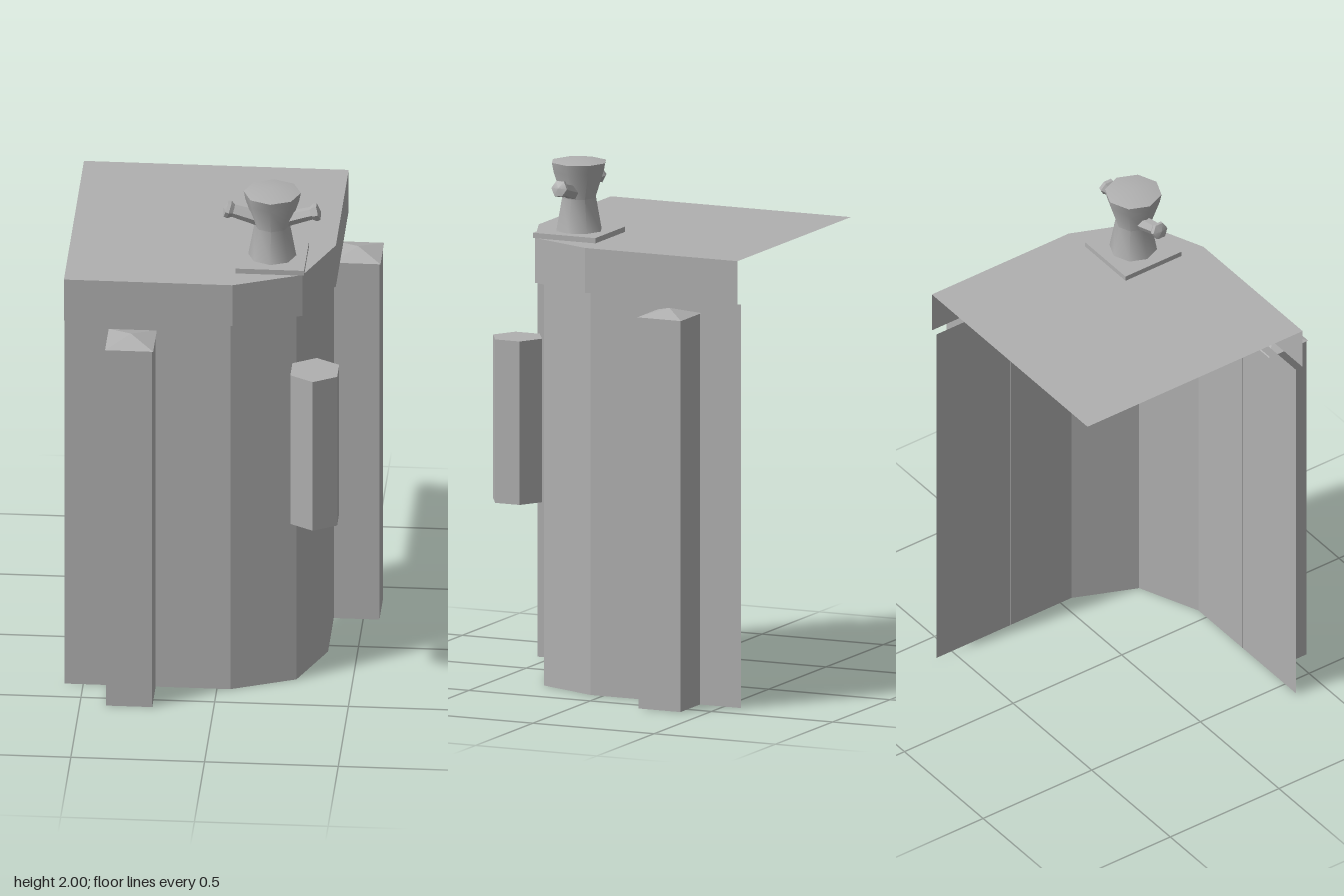
import * as THREE from 'three';
import { toCreasedNormals } from 'three/addons/utils/BufferGeometryUtils.js';

// Upright strip following an [x, z] path, outer side on the left of travel
function strip(path, y0, y1) {
  const pos = [];
  for (let i = 0; i < path.length - 1; i++) {
    const [ax, az] = path[i], [bx, bz] = path[i + 1];
    pos.push(ax, y0, az, bx, y0, bz, bx, y1, bz);
    pos.push(ax, y0, az, bx, y1, bz, ax, y1, az);
  }
  const g = new THREE.BufferGeometry();
  g.setAttribute('position', new THREE.Float32BufferAttribute(pos, 3));
  g.computeVertexNormals();
  return g;
}

// Turned part with few sides, smooth around and crisp at the rims
function turned(profile, sides, crease) {
  const pts = profile.map(([r, y]) => new THREE.Vector2(r, y));
  return toCreasedNormals(new THREE.LatheGeometry(pts, sides), crease);
}

// Path round the front and left sides with a two-step cut corner
const cornerPath = (edge, cut, mid) => [
  [-0.57, edge], [cut, edge], [mid, mid], [edge, cut], [edge, -0.57],
];

export function createModel() {
  const model = new THREE.Group();
  const stone = new THREE.MeshStandardMaterial({ color: 0xb0b0b0, side: THREE.DoubleSide });
  stone.name = 'grey stone';
  const add = (name, geometry, parent = model) => {
    const mesh = new THREE.Mesh(geometry, stone);
    mesh.name = name;
    parent.add(mesh);
    return mesh;
  };

  // Open shell: walls, overhanging fascia and roof plate
  add('wall', strip(cornerPath(0.39, 0.05, 0.29), 0, 1.53));
  const roofPath = cornerPath(0.42, 0.06, 0.315);
  add('fascia', strip(roofPath, 1.53, 1.7));
  const roofShape = new THREE.Shape(
    [...roofPath, [-0.57, -0.57]].map(([x, z]) => new THREE.Vector2(x, -z)));
  add('roof', new THREE.ShapeGeometry(roofShape).rotateX(-Math.PI / 2).translate(0, 1.7, 0));

  // Pillars with low pyramid caps, one on each outer wall
  for (const side of ['front', 'left']) {
    const pillar = new THREE.Group();
    pillar.name = side + 'Pillar';
    const h = 0.086;
    add('pillarShaft', strip([[-h, -h], [-h, h], [h, h], [h, -h]], 0, 1.485), pillar);
    const cap = new THREE.ConeGeometry(0.09 * Math.SQRT2, 0.028, 4, 1, true)
      .rotateY(Math.PI / 4).toNonIndexed();
    cap.computeVertexNormals();
    add('pillarCap', cap, pillar).position.y = 1.498;
    if (side === 'front') pillar.position.set(-0.315, 0, 0.475);
    else {
      pillar.position.set(0.475, 0, -0.315);
      pillar.rotation.y = Math.PI / 2;
    }
    model.add(pillar);
  }

  // Six-sided block on the cut corner
  const block = new THREE.CylinderGeometry(0.101, 0.101, 0.62, 6).toNonIndexed();
  block.computeVertexNormals();
  add('cornerBlock', block).position.set(0.364, 1.02, 0.364);

  // Roof fitting: plate, flared post and two raised arms
  const fitting = new THREE.Group();
  fitting.name = 'roofFitting';
  fitting.position.set(0.192, 1.7, 0.192);
  model.add(fitting);
  add('basePlate', new THREE.BoxGeometry(0.257, 0.02, 0.257), fitting).position.y = 0.01;
  add('post', turned(
    [[0.09, 0.02], [0.067, 0.145], [0.1, 0.245], [0.107, 0.28], [0, 0.3]], 8, 0.9), fitting);
  for (const s of [-1, 1]) {
    const arm = add(s < 0 ? 'rightArm' : 'leftArm', turned(
      [[0.029, 0], [0.024, 0.105], [0.034, 0.12], [0.032, 0.133], [0, 0.142]], 6, 0.5), fitting);
    arm.position.set(s * 0.045, 0.168, 0);
    arm.rotation.z = -s * (Math.PI / 2 - 0.28);
  }
  return model;
}
